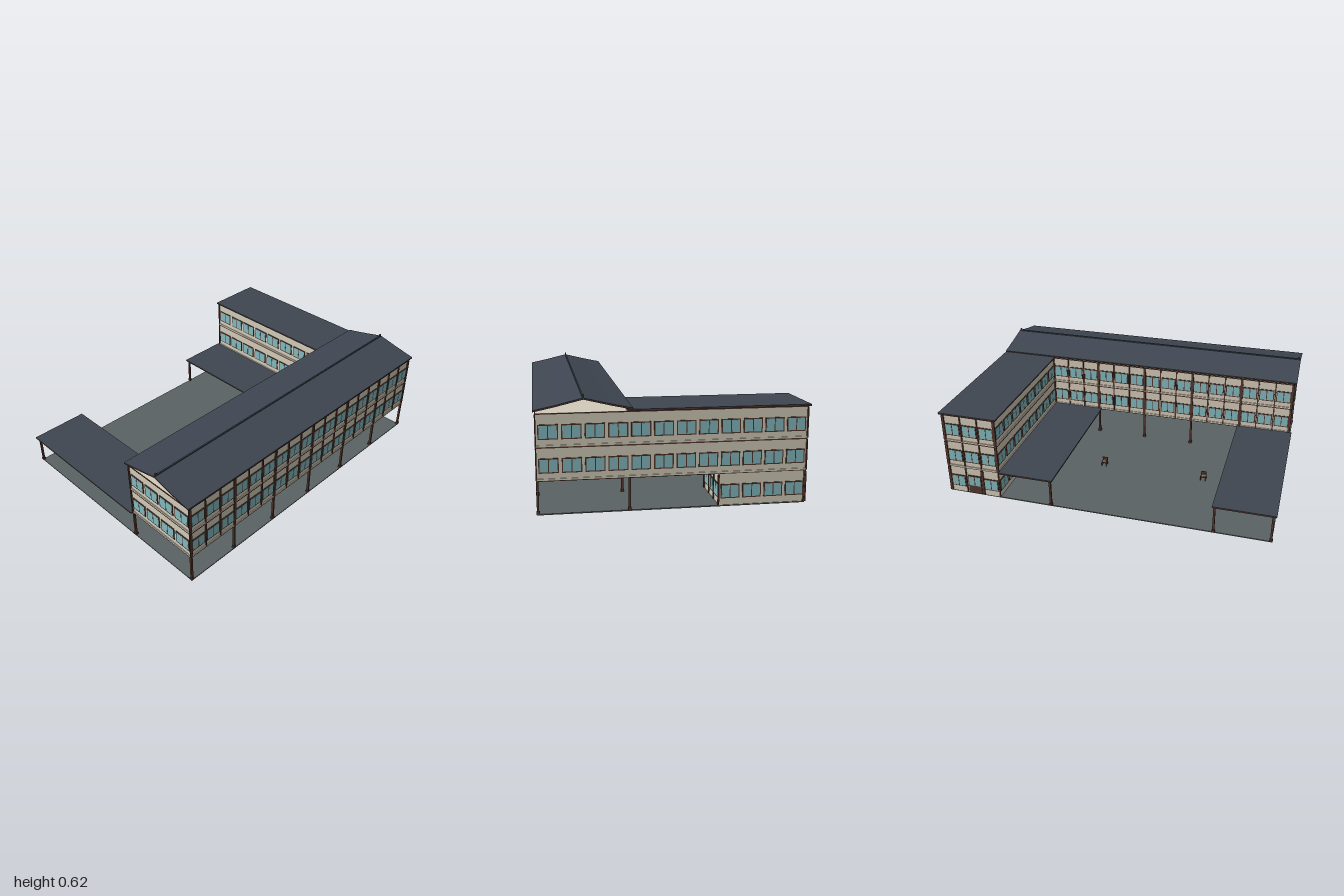
import * as THREE from 'three';
import { mergeGeometries } from 'three/addons/utils/BufferGeometryUtils.js';

const mat = (name, color) => {
  const m = new THREE.MeshStandardMaterial({ color });
  m.name = name;
  return m;
};

// Box given by its min and max corners
function span(x0, x1, y0, y1, z0, z1) {
  return new THREE.BoxGeometry(x1 - x0, y1 - y0, z1 - z0)
    .translate((x0 + x1) / 2, (y0 + y1) / 2, (z0 + z1) / 2);
}

export function createModel() {
  const plaster = mat('plaster', 0xd3cbba);
  const timber = mat('darkTimber', 0x54372c);
  const glass = mat('glass', 0x84bac0);
  const slate = mat('slateRoof', 0x3f4651);
  const stone = mat('stonePaving', 0x5b6263);
  const concrete = mat('concrete', 0x87837b);
  const wood = mat('seatWood', 0x8a6a4c);

  const root = new THREE.Group();
  root.name = 'courtyardBuilding';

  const add = (parent, name, material, geos) => {
    const list = Array.isArray(geos) ? geos : [geos];
    const mesh = new THREE.Mesh(list.length > 1 ? mergeGeometries(list) : list[0], material);
    mesh.name = name;
    parent.add(mesh);
    return mesh;
  };

  // Paved ground on a concrete base
  add(root, 'groundBase', concrete, span(-0.985, 0.985, 0, 0.003, -0.715, 0.72));
  add(root, 'pavedGround', stone, span(-0.985, 0.985, 0.003, 0.006, -0.715, 0.72));

  // Wall blocks: front wing, side wing and its partial ground floor
  const X = 0.98, Z = 0.715;
  add(root, 'frontWingWalls', plaster, span(-X, X, 0.186, 0.532, 0.24, Z));
  add(root, 'sideWingWalls', plaster, span(0.655, X, 0.186, 0.532, -Z, 0.24));
  add(root, 'groundFloorWalls', plaster, span(0.655, X, 0.006, 0.186, -Z, -0.24));

  // Floor soffits, storey bands and wall-top trim
  add(root, 'soffits', concrete, [
    span(-X, X, 0.18, 0.186, 0.24, Z),
    span(0.655, X, 0.18, 0.186, -0.24, 0.24),
  ]);
  const bands = [];
  const lips = [];
  const e = 0.005;
  const rim = (list, y0, y1) => list.push(
    span(-X - e, X + e, y0, y1, Z, Z + e),
    span(-X - e, 0.655, y0, y1, 0.24 - e, 0.24),
    span(-X - e, -X, y0, y1, 0.24, Z),
    span(X, X + e, y0, y1, -Z - e, Z),
    span(0.655 - e, 0.655, y0, y1, -Z - e, 0.24 - e),
    span(0.655, X, y0, y1, -Z - e, -Z),
  );
  for (const [y, h] of [[0.179, 0.004], [0.352, 0.007], [0.527, 0.005]]) {
    rim(bands, y, y + h);
    if (y < 0.5) rim(lips, y + h, y + h + 0.009);
  }
  add(root, 'storeyBands', timber, bands);
  add(root, 'floorLips', plaster, lips);

  // A row of windows; local x runs along the wall, local z points outward
  const H = 0.078;
  function facade(name, x, z, turn, length, bays, sills, ribs) {
    const g = new THREE.Group();
    g.name = name;
    g.position.set(x, 0, z);
    g.rotation.y = turn;
    const frames = [], panes = [], posts = [];
    const bay = length / bays;
    const w = bay * 0.87 / 2;
    for (const s of sills) {
      for (let i = 0; i < bays; i++) {
        const c = -length / 2 + (i + 0.5) * bay;
        frames.push(span(c - w, c + w, s, s + H, 0, 0.004));
        for (const d of [-1, 1]) {
          const a = c + d * 0.0025, b = c + d * (w - 0.006);
          panes.push(span(Math.min(a, b), Math.max(a, b), s + 0.006, s + H - 0.006, 0, 0.005));
        }
      }
      // Vertical timber ribs between the bays
      if (ribs) {
        for (let i = 0; i <= bays; i++) {
          const c = -length / 2 + i * bay;
          const r = i % 3 === 0 ? 0.008 : 0.004;
          posts.push(span(c - r, c + r, s - 0.036, s + 0.13, 0, r > 0.005 ? 0.007 : 0.006));
        }
      }
    }
    add(g, 'windowFrames', timber, frames);
    add(g, 'windowPanes', glass, panes);
    if (ribs) add(g, 'ribs', timber, posts);
    root.add(g);
  }
  const P = Math.PI, ground = 0.043, upper = [0.221, 0.397];
  facade('frontWindows', 0, Z, 0, 1.96, 18, upper, true);
  facade('courtFrontWindows', -0.1625, 0.24, P, 1.635, 15, upper, true);
  facade('outerSideWindows', X, 0, P / 2, 1.43, 12, upper, false);
  facade('outerGroundWindows', X, -0.4775, P / 2, 0.475, 4, [ground], false);
  facade('courtSideWindows', 0.655, -0.2375, -P / 2, 0.955, 8, upper, false);
  facade('courtGroundWindows', 0.655, -0.4775, -P / 2, 0.475, 4, [ground], false);
  facade('farEndWindows', -X, 0.4775, -P / 2, 0.475, 4, upper, false);
  facade('wingEndWindows', 0.8175, -Z, P, 0.325, 3, upper, true);
  for (const s of [-1, 1])
    facade('wingEndGroundWindow', 0.8175 + s * 0.108, -Z, P, 0.108, 1, [ground], true);
  facade('groundFrontWindows', 0.8175, -0.24, 0, 0.325, 3, [ground], true);

  // Double door in the middle of the wing end
  add(root, 'doorFrame', timber, span(0.775, 0.86, 0.006, 0.13, -Z - 0.005, -Z));
  add(root, 'doorPanes', glass, [0.78, 0.82].map((x) =>
    span(x, x + 0.035, 0.06, 0.122, -Z - 0.006, -Z)));

  // Open ground-floor posts with small feet
  const spots = [];
  for (const x of [-0.98, -0.654, -0.327, 0, 0.327, 0.654, 0.98])
    for (const z of [0.715, 0.24]) spots.push([x, z]);
  for (const x of [-0.98, -0.654, 0.327, 0.98]) spots.push([x, -0.713]);
  add(root, 'posts', timber, spots.flatMap(([x, z]) => [
    span(x - 0.006, x + 0.006, 0.006, 0.18, z - 0.006, z + 0.006),
    span(x - 0.009, x + 0.009, 0.006, 0.02, z - 0.009, z + 0.009),
  ]));

  // Gabled roof: slate skin over a timber deck, open at the ends
  const profile = [[0.73, 0.546], [0.62, 0.569], [0.475, 0.604], [0.33, 0.569], [0.222, 0.546]];
  const roofLayer = (lift, thick, half) => {
    const top = profile.map(([z, y]) => new THREE.Vector2(-z, y + lift + thick));
    const low = profile.map(([z, y]) => new THREE.Vector2(-z, y + lift)).reverse();
    return new THREE.ExtrudeGeometry(new THREE.Shape([...top, ...low]), { depth: half * 2, bevelEnabled: false })
      .rotateY(P / 2).translate(-half, 0, 0);
  };
  add(root, 'gableRoofDeck', timber, roofLayer(-0.004, 0.006, 0.999));
  add(root, 'gableRoofSlates', slate, roofLayer(0.002, 0.003, 1));
  add(root, 'ridge', slate, span(-0.995, 0.995, 0.605, 0.615, 0.471, 0.479));
  add(root, 'ridgeEnds', timber, [-1, 1].map((s) =>
    span(s * 0.987 - 0.005, s * 0.987 + 0.005, 0.602, 0.624, 0.471, 0.479)));

  // Flat roofs: side wing and the two courtyard canopies
  const flatRoof = (name, x0, x1, y, z0, z1) => {
    add(root, name + 'Deck', timber, span(x0 + 0.001, x1 - 0.001, y, y + 0.007, z0 + 0.001, z1));
    add(root, name + 'Slates', slate, span(x0, x1, y + 0.007, y + 0.01, z0, z1));
  };
  flatRoof('sideWingRoof', 0.637, 1, 0.534, -0.73, 0.25);
  flatRoof('farCanopy', -1, -0.64, 0.177, -0.73, 0.235);
  flatRoof('nearCanopy', 0.31, 0.65, 0.177, -0.73, 0.235);

  // Two courtyard chairs
  for (const x of [-0.5, 0.155]) {
    const chair = new THREE.Group();
    chair.name = 'chair';
    chair.position.set(x, 0, -0.197);
    add(chair, 'seatRim', timber, span(-0.018, 0.018, 0.029, 0.033, -0.016, 0.018));
    add(chair, 'seat', wood, span(-0.012, 0.012, 0.033, 0.035, -0.011, 0.012));
    add(chair, 'backrest', timber, span(-0.016, 0.016, 0.04, 0.057, 0.014, 0.018));
    const legs = [];
    for (const a of [-0.015, 0.015]) for (const b of [-0.013, 0.016])
      legs.push(span(a - 0.002, a + 0.002, 0.006, b > 0 ? 0.057 : 0.03, b - 0.002, b + 0.002));
    add(chair, 'legs', timber, legs);
    root.add(chair);
  }

  return root;
}
